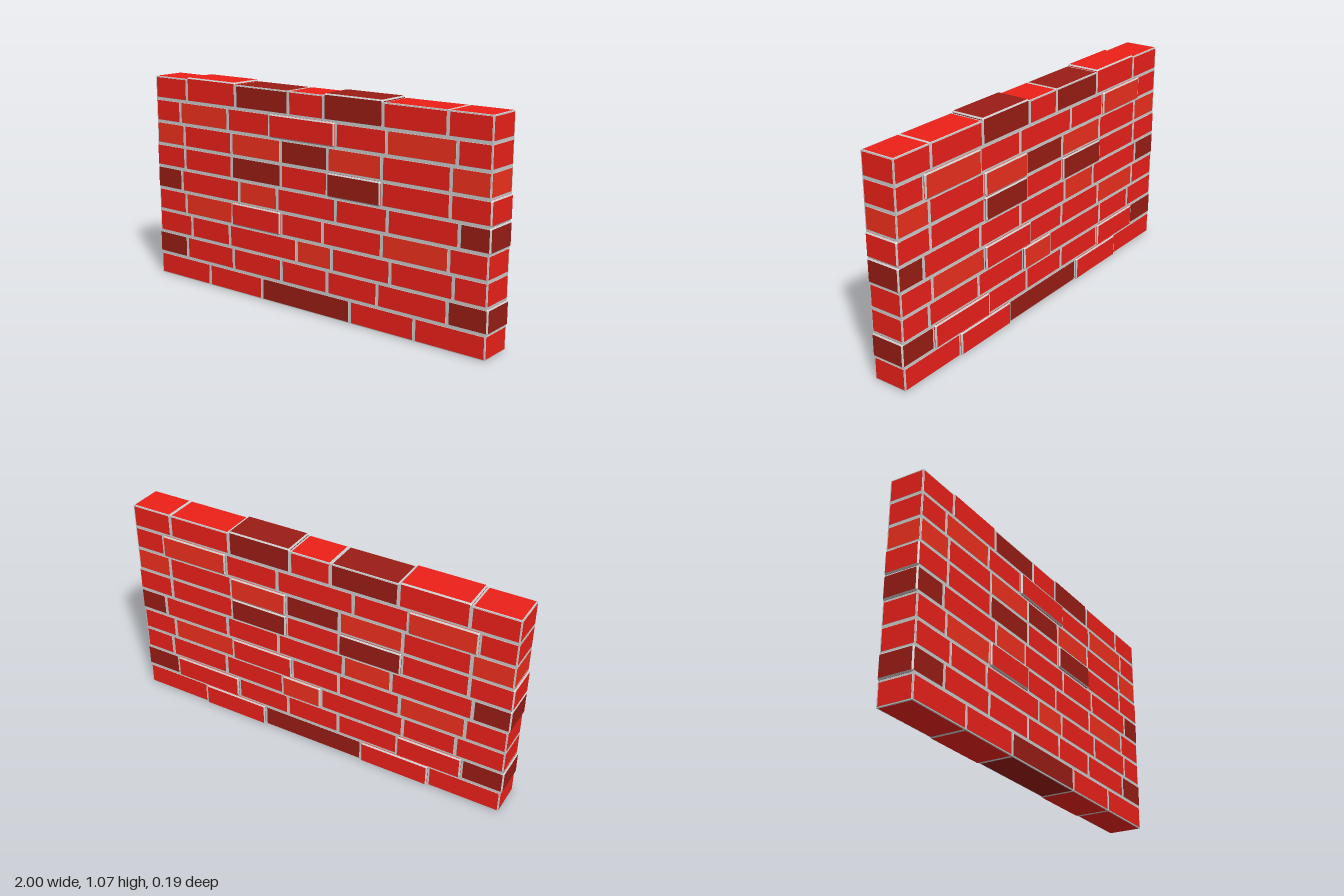
import * as THREE from 'three';

const PITCH = 0.118, HEIGHT = 0.114, CHAMFER = 0.0065, GAP = 0.002;
const HALF_LENGTH = 0.993, HALF_DEPTH = 0.0875, OUT = 0.009;

// Courses from the ground up: joint positions and one tone per brick
// (r red, d dark, o orange)
const courses = [
  [[-0.632, -0.274, 0.272, 0.63], 'rrdrr'],
  [[-0.794, -0.464, -0.146, 0.137, 0.426, 0.8], 'drrrrrd'],
  [[-0.756, -0.488, -0.05, 0.164, 0.496, 0.827], 'rrrorrr'],
  [[-0.794, -0.466, -0.146, 0.11, 0.447, 0.8], 'rorrror'],
  [[-0.82, -0.418, -0.17, 0.185, 0.477, 0.848], 'drorrrd'],
  [[-0.794, -0.466, -0.146, 0.137, 0.442, 0.8], 'rrdrdrr'],
  [[-0.794, -0.466, -0.146, 0.137, 0.442, 0.8], 'orodoro'],
  [[-0.82, -0.488, -0.215, 0.183, 0.466, 0.827], 'rorrror'],
  [[-0.769, -0.435, -0.098, 0.113, 0.445, 0.777], 'rrdrdrr'],
];

// Bricks standing proud of the wall, as course.brick counted from 0
const proudFront = ['7.3', '5.4', '3.2'];
const proudBack = ['0.1', '0.3', '1.1', '1.5', '2.3', '3.4', '5.2', '5.4', '6.4', '7.1', '7.5'];
const proudTop = ['8.1', '8.4'];
const proudEnds = [1, 4, 5];

// Box with flat chamfers: group 0 holds the six faces, group 1 the chamfers
function chamferedBox(w, h, d, c) {
  const half = [w / 2, h / 2, d / 2], pos = [];
  // corner of the face on the given axis, for a sign triple
  const corner = (axis, s) => new THREE.Vector3(
    ...s.map((v, i) => v * (half[i] - (i === axis ? 0 : c))));
  const tri = (a, b, e) => {
    const n = b.clone().sub(a).cross(e.clone().sub(a));
    const outward = n.dot(a.clone().add(b).add(e)) > 0;
    for (const p of outward ? [a, b, e] : [a, e, b]) pos.push(p.x, p.y, p.z);
  };
  const quad = (a, b, e, f) => { tri(a, b, e); tri(a, e, f); };
  const signs = (axis, s, u, v) => {
    const r = [0, 0, 0];
    r[axis] = s; r[(axis + 1) % 3] = u; r[(axis + 2) % 3] = v;
    return r;
  };
  const pair = [-1, 1];
  for (let a = 0; a < 3; a++) for (const s of pair) {
    quad(...[[-1, -1], [1, -1], [1, 1], [-1, 1]].map(([u, v]) => corner(a, signs(a, s, u, v))));
  }
  const faceCount = pos.length / 3;
  for (let a = 0; a < 3; a++) for (const u of pair) for (const v of pair) {
    const p = signs(a, -1, u, v), q = signs(a, 1, u, v);
    const b = (a + 1) % 3, e = (a + 2) % 3;
    quad(corner(b, p), corner(b, q), corner(e, q), corner(e, p));
  }
  for (const x of pair) for (const y of pair) for (const z of pair) {
    tri(...[0, 1, 2].map((a) => corner(a, [x, y, z])));
  }
  const g = new THREE.BufferGeometry();
  g.setAttribute('position', new THREE.Float32BufferAttribute(pos, 3));
  g.addGroup(0, faceCount, 0);
  g.addGroup(faceCount, pos.length / 3 - faceCount, 1);
  g.computeVertexNormals();
  return g;
}

export function createModel() {
  const wall = new THREE.Group();
  wall.name = 'brickWall';
  const grey = new THREE.MeshStandardMaterial({ color: 0xcccccc });
  const tones = {
    r: new THREE.MeshStandardMaterial({ color: 0xec2019 }),
    d: new THREE.MeshStandardMaterial({ color: 0x9a1d15 }),
    o: new THREE.MeshStandardMaterial({ color: 0xee301d }),
  };

  // Mortar core, almost flush with the bricks
  const top = PITCH * (courses.length - 1) + HEIGHT;
  const mortar = new THREE.Mesh(
    new THREE.BoxGeometry(2 * HALF_LENGTH - 0.002, top - 0.003, 2 * HALF_DEPTH - 0.002), grey);
  mortar.position.y = top / 2;
  mortar.name = 'mortar';
  wall.add(mortar);

  // Bricks, course by course
  courses.forEach(([joints, pattern], row) => {
    const course = new THREE.Group();
    course.name = `course${row + 1}`;
    const end = HALF_LENGTH + (proudEnds.includes(row) ? 0.007 : 0);
    const stops = [-end - GAP, ...joints, end + GAP];
    [...pattern].forEach((tone, i) => {
      const key = `${row}.${i}`;
      const x0 = stops[i] + GAP, x1 = stops[i + 1] - GAP;
      const y0 = row * PITCH;
      const y1 = y0 + HEIGHT + (proudTop.includes(key) ? OUT : 0);
      const z0 = -HALF_DEPTH - (proudBack.includes(key) ? OUT : 0);
      const z1 = HALF_DEPTH + (proudFront.includes(key) ? OUT : 0);
      const brick = new THREE.Mesh(
        chamferedBox(x1 - x0, y1 - y0, z1 - z0, CHAMFER), [tones[tone], grey]);
      brick.position.set((x0 + x1) / 2, (y0 + y1) / 2, (z0 + z1) / 2);
      brick.name = `brick${i + 1}`;
      course.add(brick);
    });
    wall.add(course);
  });
  return wall;
}
